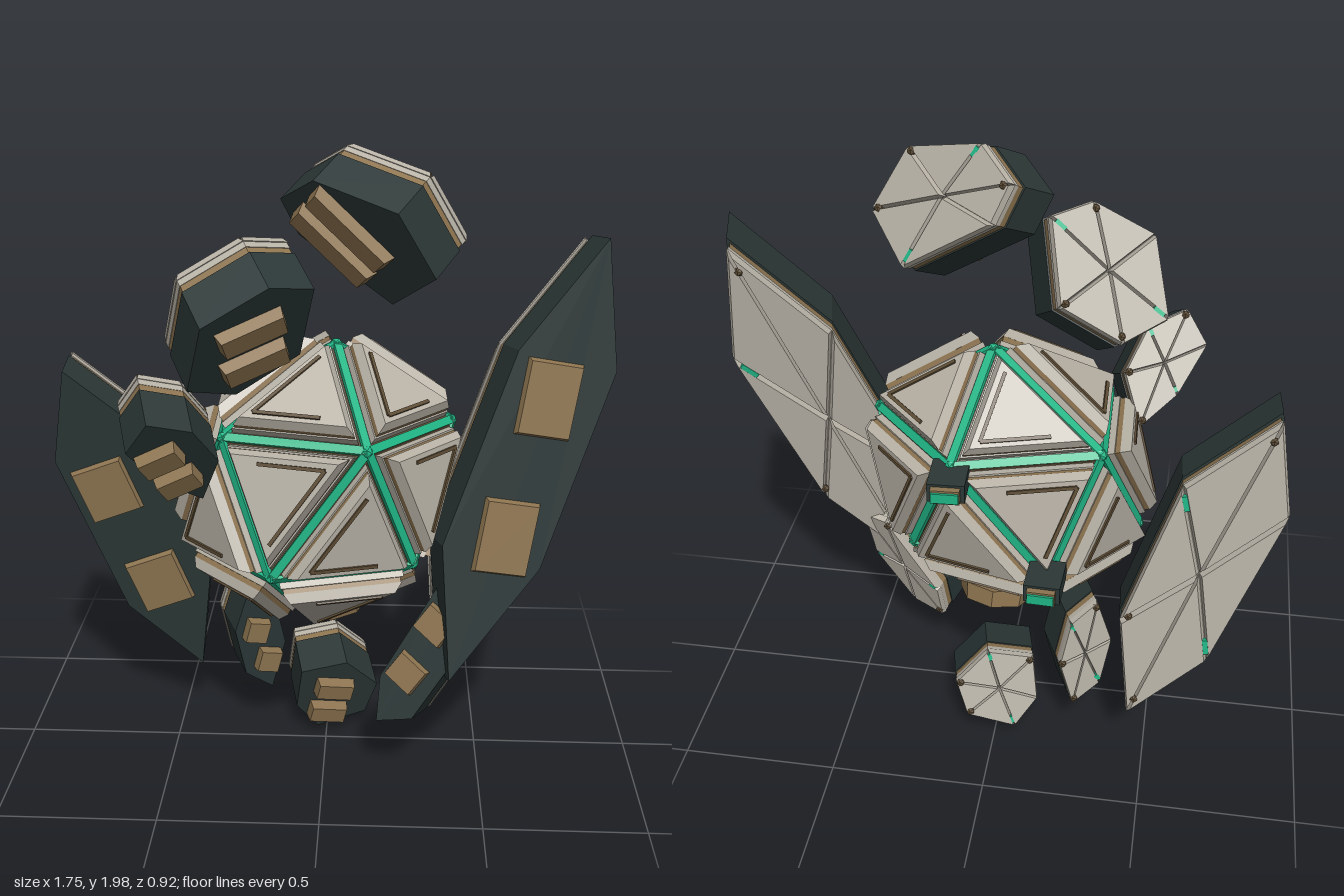
import * as THREE from 'three';
import { mergeGeometries } from 'three/addons/utils/BufferGeometryUtils.js';

const V = (x, y, z) => new THREE.Vector3(x, y, z);
const mat = (name, color) => {
  const m = new THREE.MeshStandardMaterial({ color });
  m.name = name;
  return m;
};

// Convex solid between two matching loops of points, flat shaded
function loft(a, b) {
  const mid = V(0, 0, 0);
  [...a, ...b].forEach(p => mid.addScaledVector(p, 1 / (a.length + b.length)));
  const pos = [], n = a.length;
  const tri = (p, q, r) => {
    const nor = q.clone().sub(p).cross(r.clone().sub(p));
    const out = nor.dot(p.clone().sub(mid)) > 0;
    for (const v of out ? [p, q, r] : [p, r, q]) pos.push(v.x, v.y, v.z);
  };
  for (let i = 0; i < n; i++) {
    const j = (i + 1) % n;
    tri(a[i], a[j], b[j]);
    tri(a[i], b[j], b[i]);
    if (i > 0 && i < n - 1) {
      tri(a[0], a[i], a[i + 1]);
      tri(b[0], b[i], b[i + 1]);
    }
  }
  const g = new THREE.BufferGeometry();
  g.setAttribute('position', new THREE.Float32BufferAttribute(pos, 3));
  g.computeVertexNormals();
  return g;
}

// Copy of a loop, scaled about its middle and shifted along n
function inset(loop, s, n, d) {
  const c = V(0, 0, 0);
  loop.forEach(p => c.addScaledVector(p, 1 / loop.length));
  return loop.map(p => p.clone().sub(c).multiplyScalar(s).add(c).addScaledVector(n, d));
}
const slab = (loop, n, s0, d0, s1, d1) => loft(inset(loop, s0, n, d0), inset(loop, s1, n, d1));

// Square bar between two points, its flat side turned towards "up"
function bar(a, b, up, w, h) {
  const side = b.clone().sub(a).cross(up).normalize().multiplyScalar(w / 2);
  const lift = up.clone().normalize().multiplyScalar(h / 2);
  const ring = p => [[1, 1], [-1, 1], [-1, -1], [1, -1]].map(([s, t]) =>
    p.clone().addScaledVector(side, s).addScaledVector(lift, t));
  return loft(ring(a), ring(b));
}

export function createModel() {
  const root = new THREE.Group();
  const pale = mat('pale stone', 0xb8b2a6), tan = mat('bronze', 0x8d7450), brown = mat('dark bronze', 0x5e4d35);
  const dark = mat('dark hull', 0x2b3736), green = mat('glowing green', 0x20b585);
  const add = (parent, name, geos, m) => {
    const mesh = new THREE.Mesh(Array.isArray(geos) ? mergeGeometries(geos) : geos, m);
    mesh.name = name;
    parent.add(mesh);
    return mesh;
  };

  // Core: twenty-sided body on a slightly leaning axis, flatter from front to back
  const core = new THREE.Group();
  core.name = 'core';
  core.position.set(-0.02, 0.945, -0.01);
  root.add(core);
  const top = V(0.05, 0.435, -0.03), bottom = top.clone().negate();
  const ring = (deg, lift) => [0, 1, 2, 3, 4].map(i => {
    const t = THREE.MathUtils.degToRad(deg + 72 * i);
    return V(0.385 * Math.sin(t), 0, 0.315 * Math.cos(t)).addScaledVector(top, lift);
  });
  const up = ring(19.5, 0.455), low = ring(55.5, -0.455);
  const faces = [], edges = [];
  for (let i = 0; i < 5; i++) {
    const j = (i + 1) % 5;
    faces.push([top, up[i], up[j]], [low[i], up[j], up[i]], [up[j], low[i], low[j]], [bottom, low[j], low[i]]);
    edges.push([top, up[i]], [up[i], up[j]], [up[i], low[i]], [low[i], up[j]], [low[i], low[j]], [low[i], bottom]);
  }
  const bases = [], rims = [], bands = [], plates = [], lines = [];
  for (const f of faces) {
    const n = new THREE.Triangle(...f).getNormal(V(0, 0, 0));
    if (n.dot(f[0]) < 0) n.negate();
    bases.push(slab(f, n, 0.98, -0.04, 0.91, 0.01));
    rims.push(slab(f, n, 0.88, 0, 0.87, 0.034));
    bands.push(slab(f, n, 0.83, 0.034, 0.83, 0.05));
    plates.push(slab(f, n, 0.84, 0.05, 0.74, 0.08));
    // Engraved lines along two edges
    const t = inset(f, 0.58, n, 0.082);
    lines.push(bar(t[0], t[1], n, 0.011, 0.008), bar(t[1], t[1].clone().lerp(t[2], 0.8), n, 0.011, 0.008));
  }
  add(core, 'panelBases', bases, brown);
  add(core, 'panelRims', rims, pale);
  add(core, 'panelBands', bands, tan);
  add(core, 'panelPlates', plates, pale);
  add(core, 'panelLines', lines, brown);
  add(core, 'seams', edges.map(([a, b]) => bar(a, b, a.clone().add(b), 0.026, 0.026)), green);
  add(core, 'seamNodes', [top, bottom, ...up, ...low].map(p => {
    const g = new THREE.IcosahedronGeometry(0.02, 0);
    return g.translate(p.x, p.y, p.z);
  }), green);

  // Docking ring under the core
  const dock = new THREE.Group();
  dock.name = 'dockingRing';
  dock.position.set(0.015, 0.515, -0.085);
  dock.quaternion.setFromUnitVectors(V(0, -1, 0), V(0.08, -0.97, -0.22).normalize());
  root.add(dock);
  const prof = [[0.09, -0.025], [0.12, -0.025], [0.125, 0.035], [0.09, 0.035], [0.09, -0.025]];
  add(dock, 'dockCollar', new THREE.LatheGeometry(prof.map(p => new THREE.Vector2(...p)), 8).toNonIndexed(), tan)
    .geometry.computeVertexNormals();
  add(dock, 'dockHub', slab([0, 1, 2, 3, 4, 5, 6, 7].map(i =>
    V(0.065 * Math.cos(i * Math.PI / 4), 0, 0.065 * Math.sin(i * Math.PI / 4))), V(0, 1, 0), 0.8, -0.04, 1, 0.04), tan);
  add(dock, 'dockSpokes', [0, 1].map(i => new THREE.BoxGeometry(0.2, 0.02, 0.02).rotateY(i * Math.PI / 2)), brown);

  // Two emitters on the back
  for (const [x, y, lean] of [[0.11, 1.12, 0.04], [-0.175, 0.78, -0.04]]) {
    const e = new THREE.Group();
    e.name = 'backEmitter';
    e.position.set(x, y, -0.365);
    e.rotation.y = lean;
    root.add(e);
    add(e, 'emitterBody', new THREE.BoxGeometry(0.11, 0.06, 0.13), dark);
    add(e, 'emitterTip', new THREE.BoxGeometry(0.085, 0.045, 0.022).translate(0, 0, -0.074), tan);
    add(e, 'emitterLight', new THREE.BoxGeometry(0.08, 0.032, 0.008).translate(0, 0, -0.088), green);
  }

  // Floating shard: dark side given by its outline (x, y) on a plane with normal n
  function shard(name, hex, zc, normal, depth, angle, w, h, high, boxes) {
    const g = new THREE.Group();
    g.name = name;
    root.add(g);
    const n = V(...normal).normalize(), back = n.clone().negate();
    const cx = hex.reduce((s, p) => s + p[0], 0) / 6, cy = hex.reduce((s, p) => s + p[1], 0) / 6;
    const on = (x, y) => V(x, y, zc - (n.x * (x - cx) + n.y * (y - cy)) / n.z);
    const loop = hex.map(p => on(...p)), c = on(cx, cy);
    const d1 = depth * 0.68, d2 = depth * 0.8, d3 = depth * 0.9;
    add(g, 'hull', slab(loop, back, 1, 0, 1, d1), dark);
    add(g, 'band', slab(loop, back, 0.97, d1, 0.97, d2), tan);
    // Six bevelled plates on a pale bed
    const tris = loop.map((p, i) => [c, p, loop[(i + 1) % 6]]);
    add(g, 'plates', [slab(loop, back, 0.98, d2, 0.98, d3),
      ...tris.map(t => slab(t, back, 0.99, d3, 0.91, depth))], pale);
    // Studs and small lights along the plate seams
    const at = (i, s, d) => c.clone().lerp(loop[i], s).addScaledVector(back, d);
    add(g, 'studs', [0, 2, 3].map(i => {
      const p = at(i, 0.88, depth - 0.004);
      return new THREE.IcosahedronGeometry(0.014, 0).translate(p.x, p.y, p.z);
    }), brown);
    add(g, 'seamLights', [1, 4].map(i => bar(at(i, 0.74, depth - 0.008), at(i, 0.9, depth - 0.008), back, 0.016, 0.016)), green);
    // Raised boxes on the dark side
    const a = THREE.MathUtils.degToRad(angle);
    const u = on(cx + Math.cos(a), cy + Math.sin(a)).sub(c).normalize(), v = n.clone().cross(u);
    add(g, 'hullBoxes', boxes.map(([x, y]) => {
      const q = [[1, 1], [-1, 1], [-1, -1], [1, -1]].map(([s, t]) =>
        on(x, y).addScaledVector(u, s * w / 2).addScaledVector(v, t * h / 2));
      return slab(q, n, 1, -0.01, 0.9, high);
    }), tan);
  }

  shard('largeLeftShard', [[0.83, 1.73], [0.87, 1.34], [0.66, 0.75], [0.39, 0.42], [0.36, 0.85], [0.57, 1.42]],
    0.182, [0.24, 0.13, 0.95], 0.205, -12, 0.18, 0.24, 0.02, [[0.665, 1.27], [0.55, 0.86]]);
  shard('largeRightShard', [[-0.82, 1.29], [-0.55, 1.06], [-0.39, 0.57], [-0.43, 0.21], [-0.67, 0.44], [-0.87, 0.98]],
    -0.07, [0.05, -0.1, 1], 0.2, 20, 0.18, 0.2, 0.02, [[-0.71, 0.88], [-0.56, 0.54]]);
  shard('lowerLeftShard', [[0.17, 0.24], [0.18, 0.38], [0.35, 0.68], [0.43, 0.68], [0.41, 0.48], [0.28, 0.27]],
    0.26, [-0.36, 0.26, 0.9], 0.19, -35, 0.11, 0.1, 0.025, [[0.265, 0.41], [0.35, 0.57]]);
  shard('lowerRightShard', [[-0.25, 0.56], [-0.17, 0.49], [-0.14, 0.33], [-0.185, 0.16], [-0.27, 0.23], [-0.3, 0.4]],
    -0.04, [0.38, -0.08, 0.92], 0.2, -15, 0.08, 0.08, 0.035, [[-0.235, 0.4], [-0.2, 0.28]]);
  shard('bottomShard', [[-0.08, 0.26], [0.07, 0.285], [0.17, 0.18], [0.13, 0.06], [-0.03, 0.01], [-0.1, 0.11]],
    -0.045, [0.2, -0.26, 0.94], 0.22, -10, 0.13, 0.065, 0.04, [[0.025, 0.19], [0, 0.09]]);
  shard('sideShard', [[-0.48, 1.28], [-0.36, 1.24], [-0.3, 1.12], [-0.36, 0.97], [-0.47, 1.05], [-0.55, 1.18]],
    0.355, [0.25, -0.5, 0.8], 0.2, 25, 0.13, 0.08, 0.04, [[-0.46, 1.16], [-0.42, 1.07]]);
  shard('upperRightShard', [[-0.14, 1.65], [-0.02, 1.63], [-0.07, 1.4], [-0.26, 1.28], [-0.39, 1.32], [-0.33, 1.54]],
    0.275, [0.42, -0.53, 0.73], 0.215, 22, 0.21, 0.08, 0.04, [[-0.2, 1.52], [-0.2, 1.41]]);
  shard('topShard', [[-0.13, 1.84], [-0.03, 1.91], [0.21, 1.84], [0.32, 1.65], [0.2, 1.54], [-0.08, 1.73]],
    0.145, [-0.5, -0.45, 0.74], 0.2, -43, 0.3, 0.07, 0.04, [[0.08, 1.78], [0.03, 1.72]]);
  return root;
}
